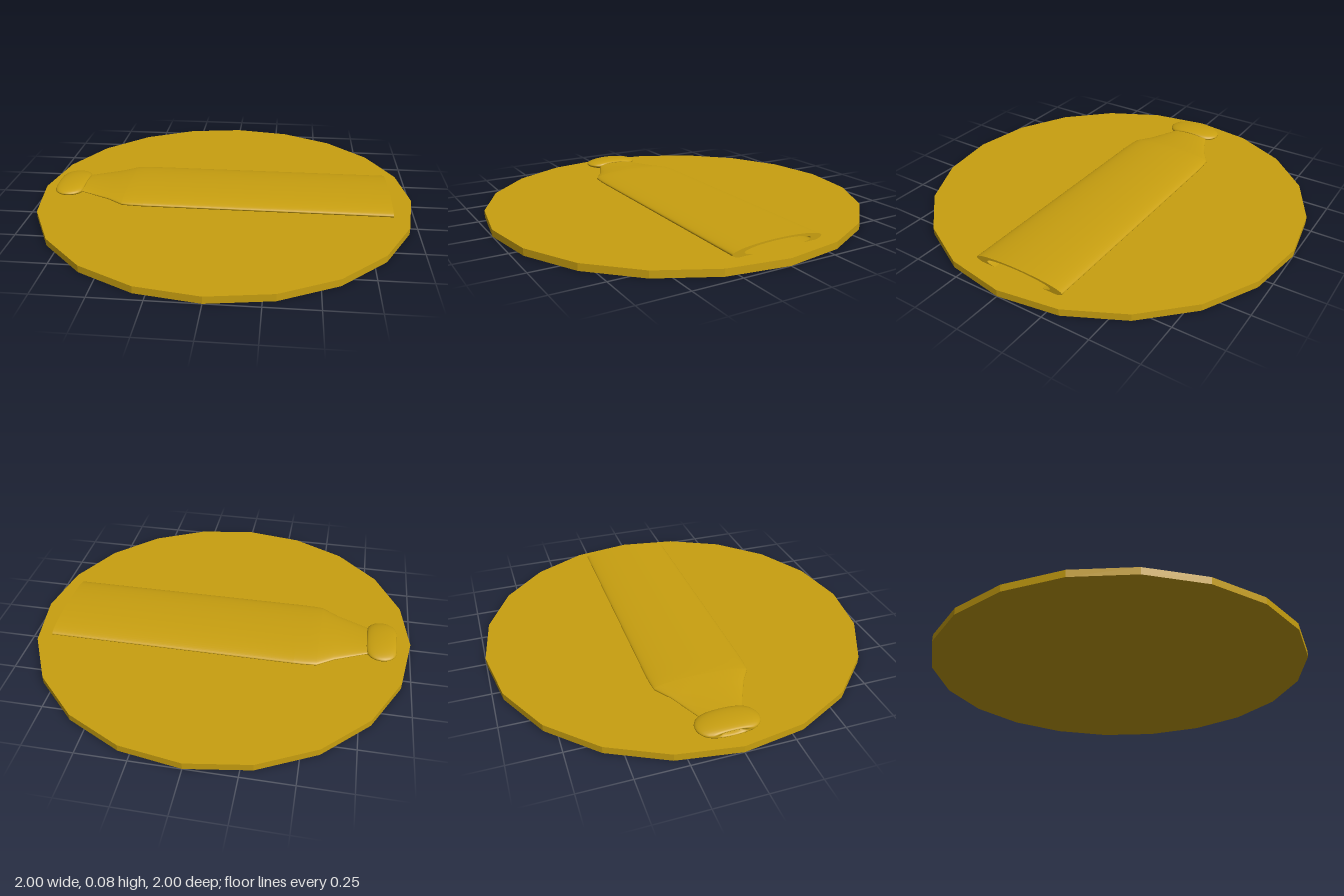
import * as THREE from 'three';
import { toCreasedNormals } from 'three/addons/utils/BufferGeometryUtils.js';

const COLOR = 0xc9a010;

export function createModel() {
  const group = new THREE.Group();
  const add = (name, geometry, flatShading = false) => {
    const material = new THREE.MeshStandardMaterial({ color: COLOR, flatShading });
    const mesh = new THREE.Mesh(geometry, material);
    mesh.name = name;
    group.add(mesh);
    return mesh;
  };

  // Twenty-sided base plate
  add('basePlate', new THREE.CylinderGeometry(1, 1, 0.036, 20).translate(0, 0.018, 0), true);

  // Hollow bottle body: [radius, x] up the outside, then back down the inside
  const profile = [
    [0.10, -0.84], [0.11, -0.77], [0.147, -0.69], [0.185, -0.61], [0.242, -0.525],
    [0.247, -0.47], [0.249, -0.41], [0.249, 0.88],
    [0.185, 0.88], [0.185, -0.42], [0.175, -0.5], [0.12, -0.62], [0.06, -0.75],
    [0.06, -0.84], [0.10, -0.84],
  ].map(([r, x]) => new THREE.Vector2(r, x));
  const body = toCreasedNormals(new THREE.LatheGeometry(profile, 64), 0.5);
  body.rotateZ(-Math.PI / 2).scale(1, 0.132, 1).translate(0, 0.052, -0.025);
  add('bottleBody', body);

  // Rounded ring at the bottle mouth, squashed like the body
  const lip = new THREE.TorusGeometry(0.083, 0.072, 24, 48);
  lip.rotateY(Math.PI / 2).scale(1.07, 0.18, 1).translate(-0.848, 0.054, -0.022);
  add('bottleLip', lip);

  return group;
}
